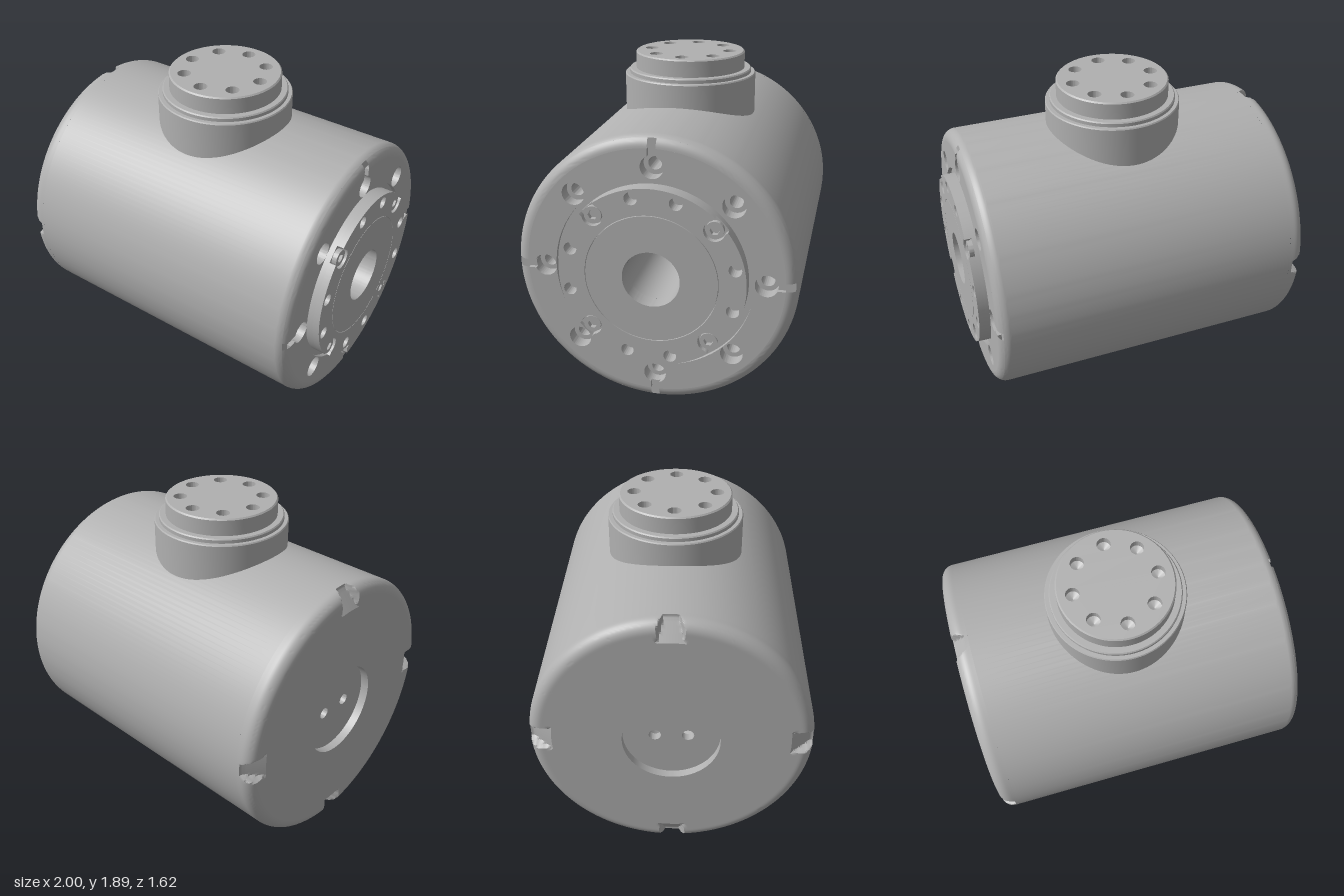
import * as THREE from 'three';
import { toCreasedNormals } from 'three/addons/utils/BufferGeometryUtils.js';

const metal = new THREE.MeshStandardMaterial({ color: 0xb0b0b0 });
metal.name = 'grey metal';

const QUARTER = Math.PI / 2;
const rad = THREE.MathUtils.degToRad;

function add(parent, name, geometry) {
  const mesh = new THREE.Mesh(toCreasedNormals(geometry, 0.5), metal);
  mesh.name = name;
  parent.add(mesh);
  return mesh;
}

// Surface of revolution around z from [radius, z] points
function revolve(points, segments = 128, start = 0, length = Math.PI * 2) {
  const profile = points.map(([r, z]) => new THREE.Vector2(r, z));
  return new THREE.LatheGeometry(profile, segments, start, length).rotateX(QUARTER);
}

// Quarter-round points from angle a0 to a1 around (r, z)
function arc(r, z, radius, a0, a1, steps) {
  return Array.from({ length: steps + 1 }, (_, i) => {
    const a = a0 + (a1 - a0) * i / steps;
    return [r + radius * Math.cos(a), z + radius * Math.sin(a)];
  });
}

const disc = (r) => new THREE.Shape().absarc(0, 0, r, 0, Math.PI * 2, false);

function drill(shape, x, y, r) {
  shape.holes.push(new THREE.Path().absarc(x, y, r, 0, Math.PI * 2, true));
  return shape;
}

// Drill a hole at each angle on a bolt circle
function drillCircle(shape, angles, pitch, r) {
  angles.forEach((a) => drill(shape, pitch * Math.cos(a), pitch * Math.sin(a), r));
  return shape;
}

// Disc with four round pockets that open to its edge through slots
function notchedDisc(R, pitch, r, half, offset) {
  const shape = new THREE.Shape();
  const edge = Math.asin(half / R);
  const mouth = Math.asin(half / r);
  for (let k = 0; k < 4; k++) {
    const a = offset + k * QUARTER;
    const b = a + QUARTER;
    shape.absarc(0, 0, R, a + edge, b - edge, false);
    shape.absarc(pitch * Math.cos(b), pitch * Math.sin(b), r, b - mouth, b + mouth, true);
  }
  shape.closePath();
  return shape;
}

function plate(shape, z0, z1, curveSegments = 40) {
  return new THREE.ExtrudeGeometry(shape, { depth: z1 - z0, bevelEnabled: false, curveSegments })
    .translate(0, 0, z0);
}

const ring = (count, offset = 0) =>
  Array.from({ length: count }, (_, i) => offset + i * Math.PI * 2 / count);

// Rounded rear rim with four tapered notches pressed into it
function rearRim() {
  const points = [];
  for (let r = 0.64; r < 0.735; r += 0.01) points.push([r, -1]);
  points.push(...arc(0.74, -0.93, 0.07, -QUARTER, 0, 10), [0.81, -0.92], [0.81, -0.9]);
  const geometry = revolve(points, 360);
  const p = geometry.attributes.position;
  for (let i = 0; i < p.count; i++) {
    const x = p.getX(i), y = p.getY(i);
    const side = Math.min(Math.abs(x), Math.abs(y));
    const depth = Math.min((0.075 - side) / 0.033 * 0.08, (Math.hypot(x, y) - 0.68) * 0.7, 0.08);
    if (depth > 0) p.setZ(i, Math.max(p.getZ(i), -1 + depth));
  }
  return geometry;
}

function buildBody() {
  const body = new THREE.Group();
  body.name = 'body';
  const bolts = ring(8);

  // Shell and rear end
  const low = Math.asin(0.045 / 0.07);
  add(body, 'shell', revolve([[0.81, -0.9], ...arc(0.74, 0.87, 0.07, 0, low, 6), [0.78, 0.915]], 160));
  add(body, 'rearRim', rearRim());
  add(body, 'rearCap', plate(drill(disc(0.65), 0, 0, 0.28), -1, -0.95, 96));
  add(body, 'rearRecess', plate(drillCircle(disc(0.29), ring(2), 0.095, 0.035), -0.95, -0.9));

  // Slotted front rim and face
  const gap = Math.asin(0.025 / 0.79);
  for (let k = 0; k < 4; k++) {
    add(body, 'frontRim', revolve(arc(0.74, 0.87, 0.07, low, QUARTER, 6), 40,
      k * QUARTER + gap, QUARTER - 2 * gap));
  }
  const face = notchedDisc(0.74, 0.635, 0.065, 0.025, 0);
  drillCircle(face, ring(4, QUARTER / 2), 0.635, 0.065);
  add(body, 'frontFace', plate(drill(face, 0, 0, 0.57), 0.915, 0.94));

  // Stepped bolt holes
  const floor = drillCircle(disc(0.79), bolts, 0.635, 0.065);
  add(body, 'slotFloor', plate(drill(floor, 0, 0, 0.3), 0.86, 0.915, 64));
  const seat = drillCircle(disc(0.74), bolts, 0.635, 0.038);
  add(body, 'boltSeats', plate(drill(seat, 0, 0, 0.3), 0.7, 0.86));
  add(body, 'boltHoleEnds', plate(drill(disc(0.74), 0, 0, 0.3), 0.68, 0.7));

  // Central bore
  add(body, 'bore', revolve([[0.165, 0.9], [0.165, -0.9]], 64));
  return body;
}

function buildFlange() {
  const flange = new THREE.Group();
  flange.name = 'outputFlange';
  const pins = [...ring(4, rad(12.5)), ...ring(4, rad(72.5))];
  const screws = ring(4, rad(42.5));

  const base = drillCircle(disc(0.535), pins, 0.483, 0.037);
  add(flange, 'flangeBase', plate(drill(base, 0, 0, 0.165), 0.9, 0.96, 64));
  const outer = notchedDisc(0.535, 0.48, 0.06, 0.052, rad(42.5));
  drillCircle(outer, pins, 0.483, 0.037);
  add(flange, 'flangeRing', plate(drill(outer, 0, 0, 0.382), 0.96, 1));
  add(flange, 'flangeHub', plate(drill(disc(0.378), 0, 0, 0.165), 0.96, 1, 64));

  // Socket screws
  const head = disc(0.05);
  head.holes.push(new THREE.Path(ring(6).map((a) =>
    new THREE.Vector2(0.028 * Math.cos(-a), 0.028 * Math.sin(-a)))));
  screws.forEach((a) => {
    const screw = add(flange, 'socketScrew', plate(head, 0.96, 0.988, 24));
    screw.position.set(0.48 * Math.cos(a), 0.48 * Math.sin(a), 0);
  });
  return flange;
}

function buildNeck() {
  const neck = new THREE.Group();
  neck.name = 'topNeck';
  add(neck, 'neckCollar', revolve([
    [0.403, 1.3], [0.403, 1.753], [0.398, 1.76], [0.376, 1.76], [0.376, 1.78], [0.37, 1.787],
    [0.335, 1.787], [0.335, 1.882], [0.327, 1.89], [0.32, 1.89],
  ], 96));
  const holes = ring(8);
  add(neck, 'neckTop', plate(drillCircle(disc(0.325), holes, 0.245, 0.04), 1.84, 1.89));
  // Conical hole bottoms
  holes.forEach((a) => {
    const cone = add(neck, 'neckHoleEnd', revolve([[0.041, 1.842], [0, 1.82]], 32));
    cone.position.set(0.245 * Math.cos(a), 0.245 * Math.sin(a), 0);
  });
  neck.rotation.x = -QUARTER;
  neck.position.x = -0.03;
  return neck;
}

export function createModel() {
  const model = new THREE.Group();
  model.name = 'jointModule';
  // Main axis runs along x
  const drive = new THREE.Group();
  drive.name = 'drive';
  drive.add(buildBody(), buildFlange());
  drive.rotation.y = QUARTER;
  drive.position.y = 0.81;
  model.add(drive, buildNeck());
  return model;
}
